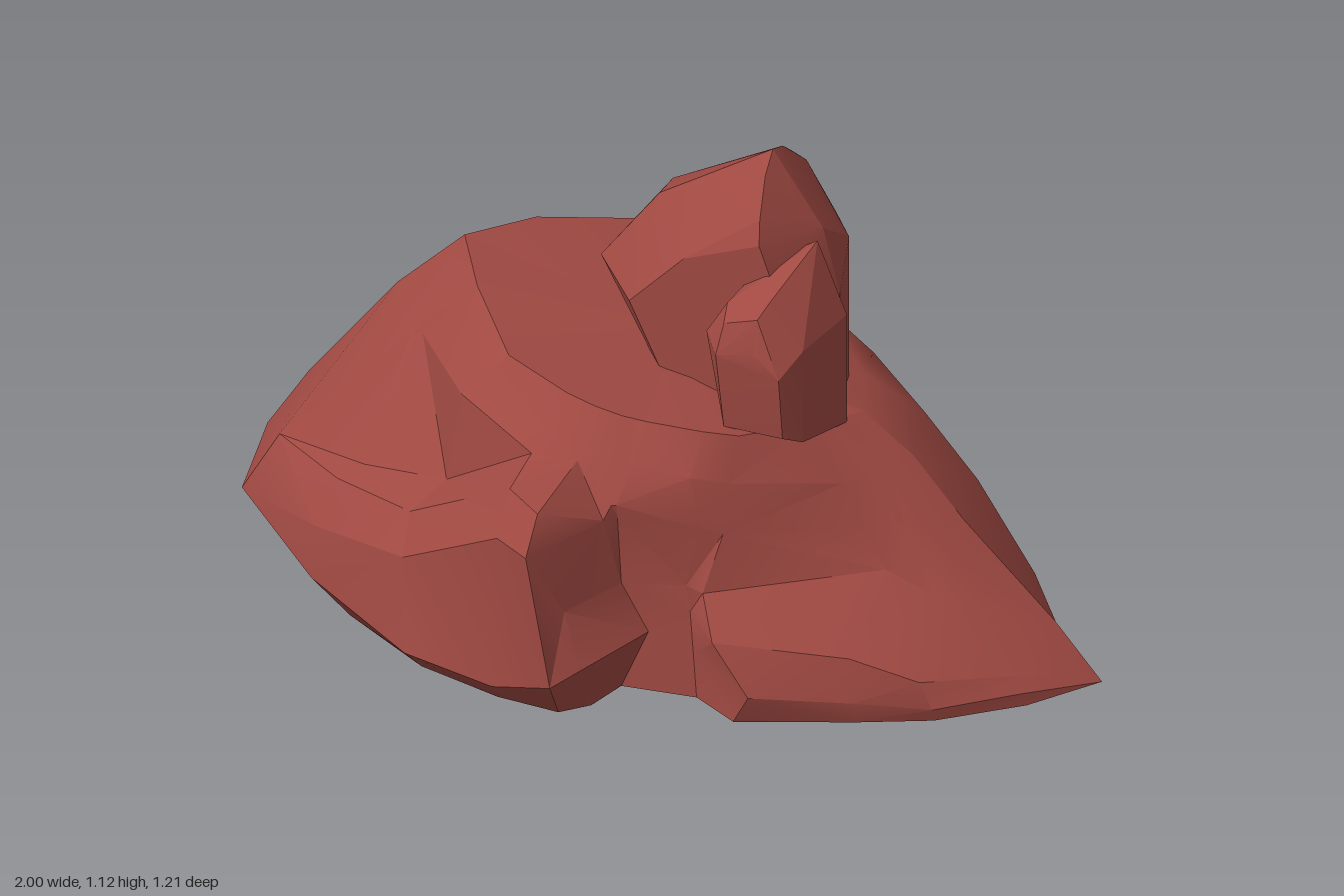
import * as THREE from 'three';
import { toCreasedNormals } from 'three/addons/utils/BufferGeometryUtils.js';
import { ConvexGeometry } from 'three/addons/geometries/ConvexGeometry.js';

const redRock = new THREE.MeshStandardMaterial({ color: 0xa04942, side: THREE.DoubleSide });

function part(name, geometry, crease) {
  const mesh = new THREE.Mesh(toCreasedNormals(geometry, crease), redRock);
  mesh.name = name;
  return mesh;
}

// Skin across columns of [x, y, z] points; columns run left to right, points run upward.
// Each four-sided patch is split along its shorter diagonal.
function loft(columns) {
  const position = [];
  const triangle = (a, b, c) => {
    const area = b.clone().sub(a).cross(c.clone().sub(a)).length();
    if (area > 1e-7) [a, b, c].forEach((p) => position.push(p.x, p.y, p.z));
  };
  const grid = columns.map((column) => column.map((p) => new THREE.Vector3(...p)));
  for (let i = 0; i < grid.length - 1; i++) {
    for (let j = 0; j < grid[i].length - 1; j++) {
      const a = grid[i][j], b = grid[i + 1][j];
      const c = grid[i + 1][j + 1], d = grid[i][j + 1];
      if (a.distanceTo(c) < b.distanceTo(d)) {
        triangle(a, b, c);
        triangle(a, c, d);
      } else {
        triangle(a, b, d);
        triangle(b, c, d);
      }
    }
  }
  const geometry = new THREE.BufferGeometry();
  geometry.setAttribute('position', new THREE.Float32BufferAttribute(position, 3));
  return geometry;
}

// Hull of faceted slices, each a depth z and a list of [x, y] corners.
function hull(slices) {
  return new ConvexGeometry(slices.flatMap(([z, corners]) =>
    corners.map(([x, y]) => new THREE.Vector3(x, y, z))));
}

export function createModel() {
  const group = new THREE.Group();
  group.name = 'rockFormation';

  // Every slope of the mound ends in its share of the tilted plateau
  const plateauCentre = [-.02, .63, -.12];
  const slope = (name, columns, crease) =>
    group.add(part(name, loft(columns.map((column) => [...column, plateauCentre])), crease));
  // Repeats points of a ridge so that it meets a slope with more rows
  const spread = (ridge, rows) => rows.map((row) => ridge[row]);

  // End ridges shared by the back and front slopes
  const leftRidge = [[1, 0, -.1], [.88, .11, -.12], [.66, .31, -.12], [.54, .44, -.12], [.42, .52, -.12]];
  const rightRidge = [[-.86, 0, -.12], [-1, .18, -.12], [-.9, .33, -.12], [-.69, .59, -.12], [-.53, .74, -.12]];

  slope('moundBack', [
    leftRidge,
    [[.81, 0, -.27], [.75, .12, -.29], [.6, .3, -.32], [.48, .44, -.31], [.36, .54, -.25]],
    [[.38, 0, -.41], [.38, .15, -.45], [.35, .34, -.47], [.29, .48, -.45], [.2, .57, -.42]],
    [[-.04, 0, -.55], [-.04, .18, -.592], [-.04, .42, -.612], [-.04, .55, -.58], [-.04, .62, -.51]],
    [[-.42, 0, -.42], [-.45, .2, -.46], [-.44, .4, -.47], [-.36, .56, -.48], [-.26, .68, -.46]],
    [[-.75, 0, -.25], [-.82, .18, -.28], [-.72, .36, -.32], [-.55, .58, -.33], [-.43, .735, -.27]],
    rightRidge,
  ], 0.75);

  // Rows from here on: base, foot, front edge, shoulder, neck, upper slope, plateau rim
  const boulderStart = [
    [-.36, 0, .46], [-.37, .06, .525], [-.4, .26, .47], [-.42, .33, .39], [-.38, .37, .29], [-.35, .58, .28], [-.26, .67, .23]];
  const boulderEnd = [
    [.07, 0, .36], [.13, .14, .35], [.07, .25, .36], [.07, .42, .38], [.07, .45, .385], [.08, .52, .325], [.08, .595, .255]];

  // Right shoulder with its triangular notch
  slope('moundFrontRight', [
    spread(rightRidge, [0, 1, 1, 1, 2, 3, 4]),
    [[-.78, 0, .15], [-.92, .18, .18], [-.92, .18, .18], [-.83, .33, .18], [-.83, .33, .18], [-.57, .58, .06], [-.42, .72, .05]],
    [[-.6, 0, .31], [-.67, .1, .36], [-.67, .22, .345], [-.64, .315, .29], [-.6, .335, .24], [-.54, .585, .07], [-.41, .715, .06]],
    boulderStart,
  ], 0.45);

  // Bulging boulder at the front, fused with the slope above it
  slope('frontBoulder', [
    boulderStart,
    [[-.15, 0, .52], [-.14, .05, .57], [-.13, .41, .565], [-.13, .5, .5], [-.13, .535, .39], [-.12, .57, .33], [-.1, .635, .275]],
    [[0, 0, .53], [.01, .09, .595], [-.05, .39, .59], [-.05, .47, .53], [-.03, .53, .37], [-.02, .56, .33], [-.03, .62, .28]],
    [[.05, 0, .47], [.05, .11, .53], [0, .23, .5], [.05, .42, .41], [.06, .45, .39], [.04, .53, .33], [.03, .605, .27]],
    boulderEnd,
  ], 0.45);

  // Left slope with the low ledge running out to the tip
  slope('moundFrontLeft', [
    boulderEnd,
    [[.24, 0, .34], [.23, .1, .335], [.22, .2, .33], [.21, .26, .33], [.23, .39, .3], [.2, .5, .29], [.2, .58, .22]],
    [[.36, 0, .41], [.4, .07, .42], [.31, .18, .41], [.25, .25, .33], [.27, .37, .27], [.27, .48, .24], [.26, .56, .17]],
    [[.6, 0, .3], [.6, .05, .31], [.58, .145, .29], [.56, .25, .06], [.5, .33, .05], [.45, .43, .05], [.36, .54, .02]],
    [[.75, 0, .22], [.75, .03, .23], [.72, .09, .23], [.67, .2, .04], [.58, .32, 0], [.48, .44, 0], [.385, .535, -.02]],
    [[.9, 0, .07], [.89, .03, .08], [.87, .06, .06], [.77, .16, -.01], [.62, .32, -.05], [.51, .44, -.05], [.4, .53, -.06]],
    spread(leftRidge, [0, 0, 1, 1, 2, 3, 4]),
  ], 0.45);

  // Tall crag on the plateau, its foot sunk into the mound
  group.add(part('tallCrag', hull([
    [-.28, [[-.02, .55], [-.06, .78], [.08, .93], [.21, 1.01], [.28, .9], [.31, .77], [.31, .52]]],
    [-.22, [[-.1, .6], [-.2, .77], [-.08, .93], [.2, 1.06], [.34, .88], [.34, .52]]],
    [-.16, [[.21, 1.1]]],
    [-.11, [[-.1, .6], [-.2, .77], [-.06, .95], [.21, 1.115], [.33, .95], [.37, .8], [.37, .52]]],
    [-.05, [[.22, 1.08]]],
    [.02, [[.24, 1.01]]],
    [.045, [[.03, .58], [-.06, .76], [.07, .89], [.25, .96], [.28, .88], [.3, .76], [.3, .53]]],
  ]), 0.3));

  // Smaller shard leaning on the crag
  group.add(part('smallShard', hull([
    [-.06, [[.17, .76], [.22, .87], [.34, .945], [.41, .78], [.41, .52], [.2, .55]]],
    [.12, [[.16, .77], [.21, .85], [.31, .87], [.39, .77], [.39, .55], [.2, .56]]],
    [.16, [[.22, .82], [.3, .845], [.36, .57], [.22, .57]]],
    [.18, [[.21, .75], [.3, .77], [.36, .72]]],
  ]), 0.3));

  return group;
}
